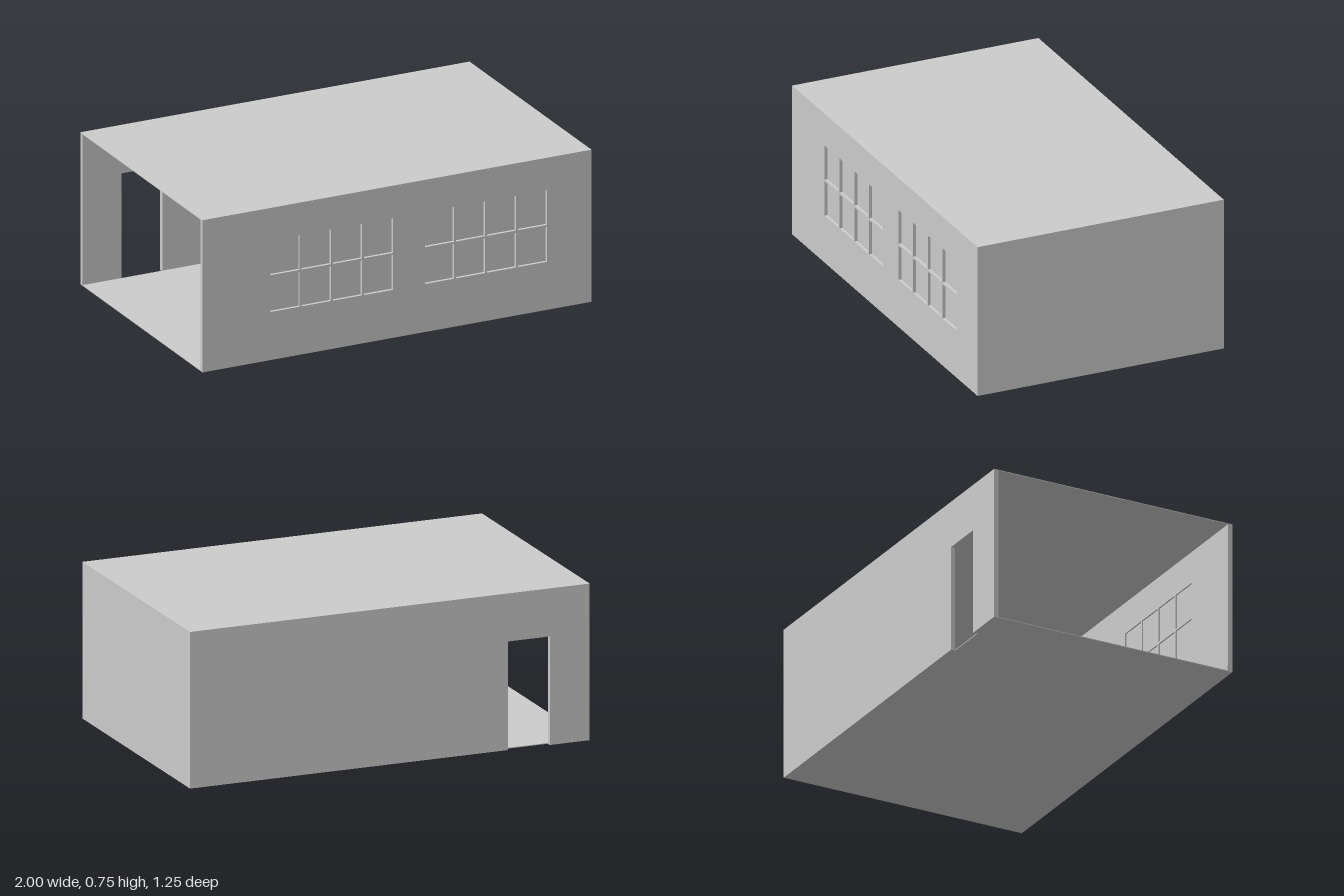
import * as THREE from 'three';

const W = 2, H = 0.75, D = 1.25;   // overall size
const WALL = 0.022, SKIN = 0.004;  // thick walls, thin sheets
const material = new THREE.MeshStandardMaterial({ color: 0xcccccc, flatShading: true });
const glassMaterial = new THREE.MeshStandardMaterial({ color: 0xcccccc, side: THREE.DoubleSide });

function add(parent, name, geometry, x, y, z, mat = material) {
  const mesh = new THREE.Mesh(geometry, mat);
  mesh.name = name;
  mesh.position.set(x, y, z);
  parent.add(mesh);
  return mesh;
}

function corners(x0, y0, x1, y1) {
  return [[x0, y0], [x1, y0], [x1, y1], [x0, y1]].map(([x, y]) => new THREE.Vector2(x, y));
}

// Wall outline in x and y with rectangular openings, given thickness along z
function wallGeometry(outline, openings) {
  const shape = new THREE.Shape(outline);
  for (const o of openings) shape.holes.push(new THREE.Path(corners(...o)));
  return new THREE.ExtrudeGeometry(shape, { depth: WALL, bevelEnabled: false });
}

// Openings of one window: four columns by two rows, split by slim bars
function windowOpenings(x0, x1, y0, y1, bar = 0.01) {
  const w = (x1 - x0 - 3 * bar) / 4, h = (y1 - y0 - bar) / 2;
  const list = [];
  for (let c = 0; c < 4; c++) {
    for (let r = 0; r < 2; r++) {
      const x = x0 + c * (w + bar), y = y0 + r * (h + bar);
      list.push([x, y, x + w, y + h]);
    }
  }
  return list;
}

export function createModel() {
  const room = new THREE.Group();
  room.name = 'room';
  const top = H - SKIN;

  // Front wall with two barred windows
  const windows = [[-0.65, -0.02], [0.145, 0.77]];
  const y0 = 0.237, y1 = 0.59;
  const openings = windows.flatMap(([a, b]) => windowOpenings(a, b, y0, y1));
  add(room, 'frontWall', wallGeometry(corners(-W / 2, 0, W / 2, top), openings), 0, 0, D / 2 - WALL);

  // Window panes set back inside the wall
  for (const [a, b] of windows) {
    add(room, 'windowPane', new THREE.PlaneGeometry(b - a, y1 - y0),
      (a + b) / 2, (y0 + y1) / 2, D / 2 - 0.015, glassMaterial);
  }

  // Back wall, notched down to the floor by the doorway
  const doorLeft = -0.8, doorRight = -0.59, doorTop = 0.52;
  const backOutline = [
    [-W / 2, 0], [doorLeft, 0], [doorLeft, doorTop], [doorRight, doorTop],
    [doorRight, 0], [W / 2, 0], [W / 2, top], [-W / 2, top],
  ].map(([x, y]) => new THREE.Vector2(x, y));
  add(room, 'backWall', wallGeometry(backOutline, []), 0, 0, -D / 2);

  // Closed end wall; the opposite end stays open
  const inner = D - 2 * WALL;
  add(room, 'endWall', new THREE.BoxGeometry(SKIN, top, inner), W / 2 - SKIN / 2, top / 2, 0);

  // Thin floor between the walls and thin roof over them
  add(room, 'floor', new THREE.BoxGeometry(W - SKIN, SKIN, inner), -SKIN / 2, SKIN / 2, 0);
  add(room, 'roof', new THREE.BoxGeometry(W, SKIN, D), 0, H - SKIN / 2, 0);

  // Low skirting along the inside of the front wall
  add(room, 'skirting', new THREE.BoxGeometry(W - SKIN, 0.024, 0.003),
    -SKIN / 2, SKIN + 0.012, D / 2 - WALL - 0.0015);

  return room;
}
